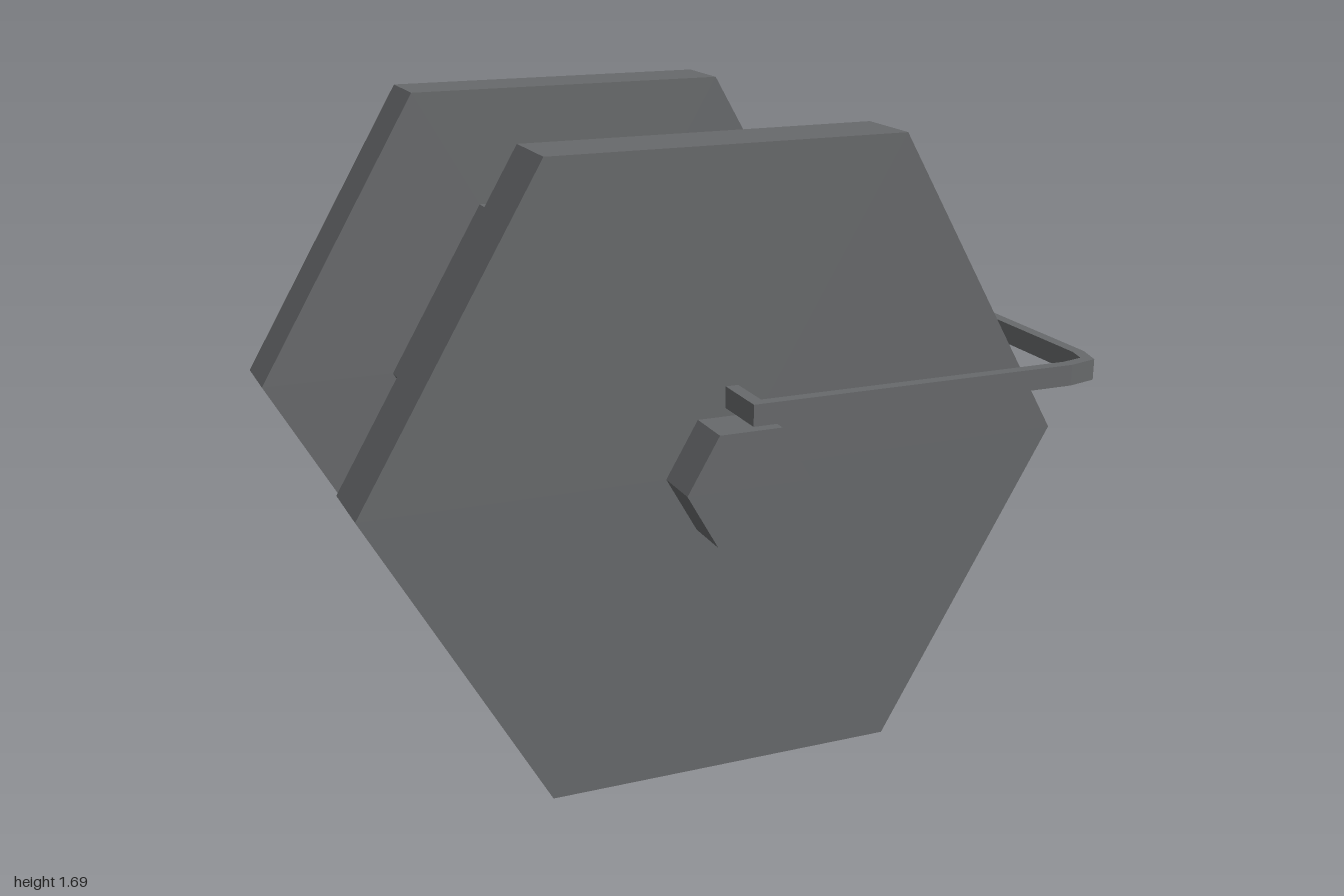
import * as THREE from 'three';

const AXIS_X = -0.025;
const AXIS_Y = 0.845;

export function createModel() {
  const group = new THREE.Group();
  const material = new THREE.MeshStandardMaterial({ color: 0x67696b, flatShading: true });

  const add = (name, geometry, x, y, z) => {
    const mesh = new THREE.Mesh(geometry, material);
    mesh.name = name;
    mesh.position.set(x, y, z);
    group.add(mesh);
  };

  // Six-sided prism along z, with corners pointing left and right
  const addHexPrism = (name, radius, z0, z1) => {
    const geometry = new THREE.CylinderGeometry(radius, radius, z1 - z0, 6, 1, false, Math.PI / 2);
    geometry.rotateX(Math.PI / 2);
    add(name, geometry, AXIS_X, AXIS_Y, (z0 + z1) / 2);
  };

  // Spool core, two end plates and axle stubs
  addHexPrism('core', 0.577, -0.49, 0.49);
  addHexPrism('frontPlate', 0.975, 0.49, 0.688);
  addHexPrism('backPlate', 0.975, -0.688, -0.49);
  addHexPrism('frontAxle', 0.172, 0.688, 0.823);
  addHexPrism('backAxle', 0.172, -0.823, -0.688);

  // Handle: flat bar bent around the spool, its ends turned in to the plates
  const half = [
    [-0.035, 0.688], [-0.035, 0.854], [0.893, 0.854], [0.979, 0.831], [1.0, 0.755],
  ];
  const inner = [
    [0.967, 0.75], [0.953, 0.805], [0.89, 0.821], [0.0, 0.821], [0.0, 0.688],
  ];
  const mirror = (points) => points.map(([x, z]) => [x, -z]).reverse();
  const outline = [...half, ...mirror(half), ...mirror(inner), ...inner];
  const shape = new THREE.Shape(outline.map(([x, z]) => new THREE.Vector2(x, z)));
  const handle = new THREE.ExtrudeGeometry(shape, { depth: 0.057, bevelEnabled: false });
  handle.rotateX(-Math.PI / 2);
  add('handle', handle, 0, 1.017, 0);

  return group;
}
